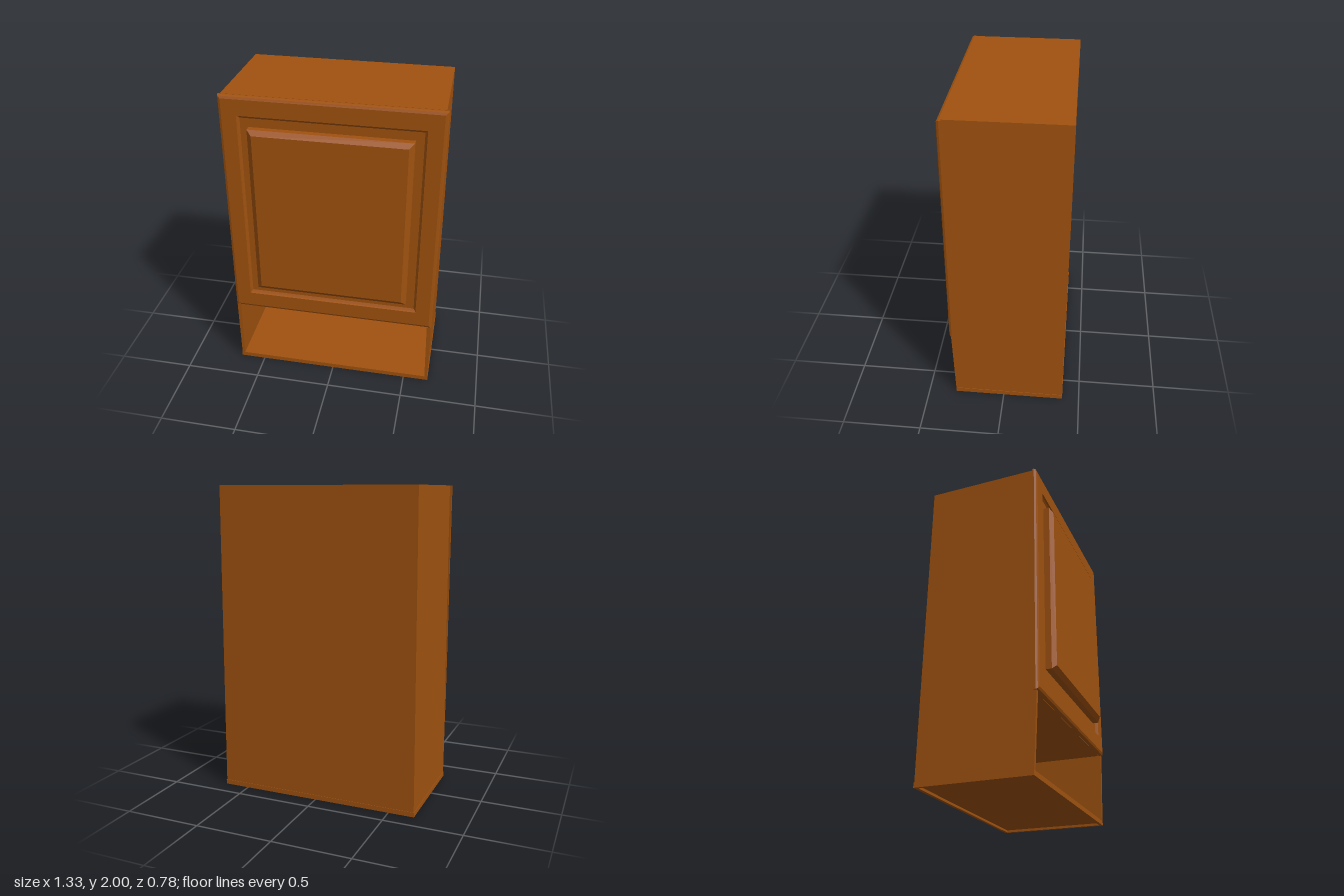
import * as THREE from 'three';

const wood = new THREE.MeshStandardMaterial({ color: 0xa0520f });

// Skin a run of four-cornered sections with flat faces and cap both ends.
function loft(name, loops) {
  const pos = [];
  const quad = (a, b, c, d) => pos.push(...a, ...b, ...c, ...a, ...c, ...d);
  for (let k = 0; k < loops.length - 1; k++) {
    for (let i = 0; i < 4; i++) {
      const j = (i + 1) % 4;
      quad(loops[k][i], loops[k][j], loops[k + 1][j], loops[k + 1][i]);
    }
  }
  quad(...[...loops[0]].reverse());
  quad(...loops[loops.length - 1]);
  const geometry = new THREE.BufferGeometry();
  geometry.setAttribute('position', new THREE.Float32BufferAttribute(pos, 3));
  geometry.computeVertexNormals();
  const mesh = new THREE.Mesh(geometry, wood);
  mesh.name = name;
  return mesh;
}

// Horizontal section, used for parts that rise along y.
const level = (y, x0, x1, zBack, zFront) =>
  [[x0, y, zFront], [x1, y, zFront], [x1, y, zBack], [x0, y, zBack]];

// Upright section, used for the door profile that steps along z.
const upright = (z, hw, y0, y1) =>
  [[-hw, y0, z], [hw, y0, z], [hw, y1, z], [-hw, y1, z]];

function box(name, w, h, d, x, y, z) {
  const mesh = new THREE.Mesh(new THREE.BoxGeometry(w, h, d), wood);
  mesh.position.set(x, y, z);
  mesh.name = name;
  return mesh;
}

export function createModel() {
  const cabinet = new THREE.Group();
  cabinet.name = 'cabinet';

  // Closed upper body, narrowing slightly to the top
  cabinet.add(loft('upperBody', [
    level(0.48, -0.661, 0.661, -0.387, 0.32),
    level(2.0, -0.65, 0.65, -0.385, 0.32),
  ]));

  // Open shelf: two side panels with a slanted front edge, and a thin back
  for (const s of [-1, 1]) {
    const section = (y, inner, outer, front) =>
      level(y, Math.min(s * inner, s * outer), Math.max(s * inner, s * outer), -0.387, front);
    cabinet.add(loft(s > 0 ? 'leftShelfSide' : 'rightShelfSide', [
      section(0.03, 0.645, 0.664, 0.32),
      section(0.48, 0.635, 0.661, 0.335),
    ]));
  }
  cabinet.add(box('shelfBack', 1.3, 0.46, 0.01, 0, 0.255, -0.382));

  // Base board with a thin rim around its recessed underside
  cabinet.add(box('shelfFloor', 1.31, 0.015, 0.69, 0, 0.0225, -0.035));
  const base = new THREE.Group();
  base.name = 'baseRim';
  for (const s of [-1, 1]) {
    base.add(box('sideRim', 0.02, 0.03, 0.71, s * 0.657, 0.015, -0.035));
    base.add(box('endRim', 1.294, 0.03, 0.02, 0, 0.015, -0.035 + s * 0.345));
  }
  cabinet.add(base);

  // Door: rounded outer edge, sunken moulding, then raised centre panel
  cabinet.add(loft('door', [
    upright(0.318, 0.664, 0.482, 1.999),
    upright(0.33, 0.664, 0.482, 1.999),
    upright(0.342, 0.659, 0.488, 1.994),
    upright(0.348, 0.645, 0.502, 1.98),
    upright(0.348, 0.555, 0.6, 1.88),
    upright(0.338, 0.552, 0.603, 1.877),
    upright(0.33, 0.54, 0.618, 1.863),
    upright(0.33, 0.49, 0.672, 1.808),
    upright(0.368, 0.49, 0.672, 1.808),
    upright(0.39, 0.46, 0.702, 1.778),
  ]));

  return cabinet;
}
